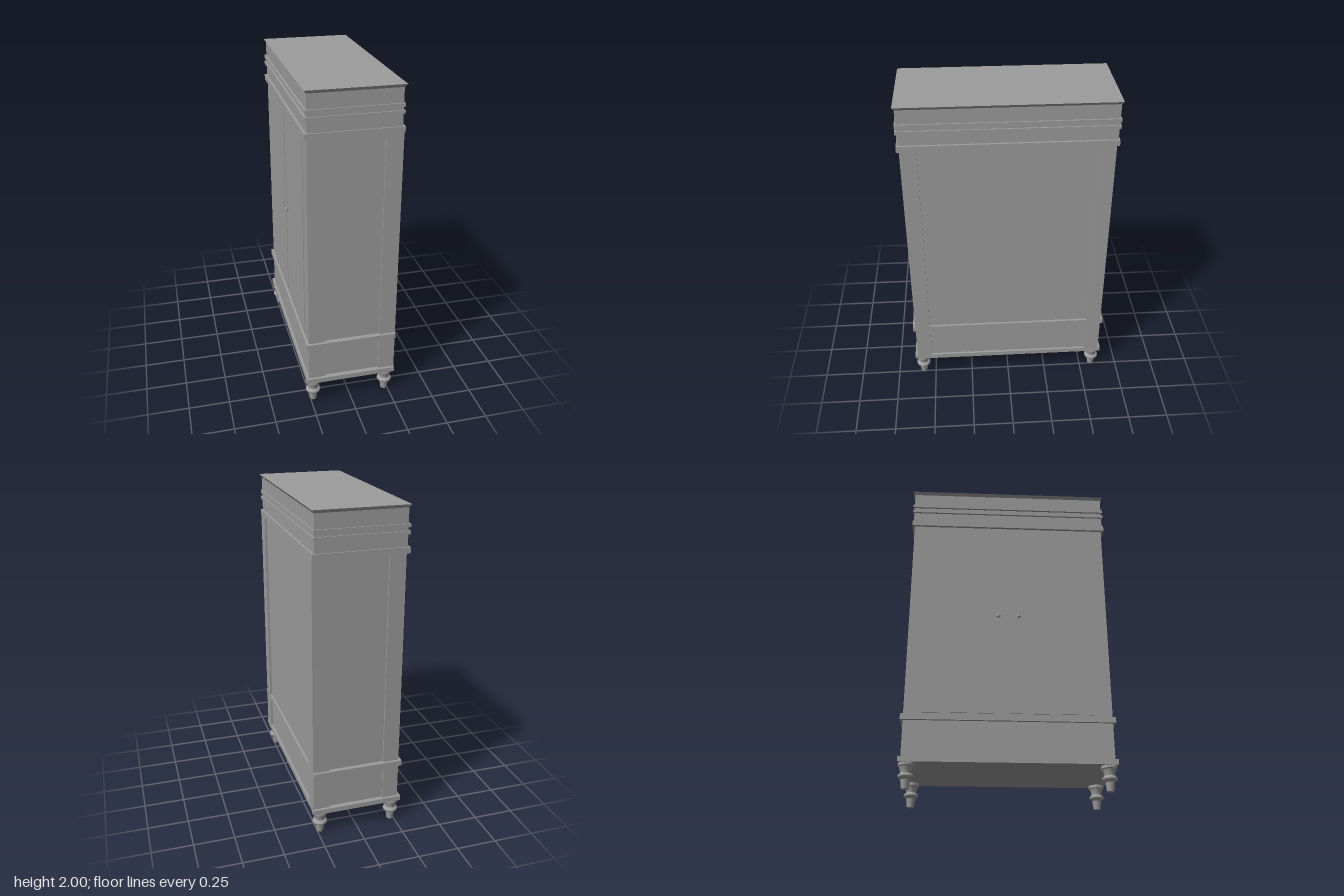
import * as THREE from 'three';

const material = new THREE.MeshStandardMaterial({ color: 0x9c9c9c });

export function createModel() {
  const wardrobe = new THREE.Group();
  wardrobe.name = 'wardrobe';

  const add = (name, geometry) => {
    const mesh = new THREE.Mesh(geometry, material);
    mesh.name = name;
    wardrobe.add(mesh);
    return mesh;
  };
  // Box given by its limits on each axis
  const box = (name, x0, x1, y0, y1, z0, z1) => {
    const mesh = add(name, new THREE.BoxGeometry(x1 - x0, y1 - y0, z1 - z0));
    mesh.position.set((x0 + x1) / 2, (y0 + y1) / 2, (z0 + z1) / 2);
    return mesh;
  };

  // Carcass: recessed side and back panels show between the corner posts
  box('carcass', -0.262, 0.266, 0.17, 1.75, -0.6, 0.6);
  for (const s of [-1, 1]) {
    const [a, b] = s > 0 ? [0.517, 0.613] : [-0.613, -0.517];
    box('doorSidePost', -0.262, -0.164, 0.177, 1.732, a, b);
    box('backPost', 0.18, 0.281, 0.177, 1.732, a, b);
  }

  // Projecting mouldings, flush with the back
  box('baseMoulding', -0.278, 0.281, 0.147, 0.178, -0.629, 0.629);
  box('waistMoulding', -0.278, 0.281, 0.397, 0.432, -0.629, 0.629);
  box('upperMoulding', -0.278, 0.281, 1.731, 1.767, -0.629, 0.629);

  // Frieze with two thin ribs
  box('frieze', -0.263, 0.268, 1.767, 1.986, -0.621, 0.621);
  for (const y of [1.836, 1.876]) {
    box('friezeRib', -0.275, 0.276, y, y + 0.02, -0.629, 0.629);
  }

  // Crown flaring out to the top
  const crown = box('crown', -0.276, 0.282, 1.982, 2, -0.632, 0.632);
  const p = crown.geometry.attributes.position;
  for (let i = 0; i < p.count; i++) {
    if (p.getY(i) < 0) {
      p.setX(i, p.getX(i) - Math.sign(p.getX(i)) * 0.013);
      p.setZ(i, p.getZ(i) - Math.sign(p.getZ(i)) * 0.01);
    }
  }
  crown.geometry.computeVertexNormals();

  // Pair of doors with turned knobs
  const knobProfile = [[0.005, 0], [0.005, 0.005], [0.011, 0.008], [0.013, 0.01], [0.011, 0.013], [0.006, 0.017], [0, 0.018]]
    .map(([r, y]) => new THREE.Vector2(r, y));
  for (const s of [-1, 1]) {
    const [a, b] = s > 0 ? [0.011, 0.508] : [-0.508, -0.011];
    box('door', -0.267, -0.255, 0.445, 1.72, a, b);
    const knob = add('doorKnob', new THREE.LatheGeometry(knobProfile, 20));
    knob.rotation.z = Math.PI / 2;
    knob.position.set(-0.267, 1.08, s * 0.064);
  }

  // Turned feet; repeated points keep the rings crisp
  const footProfile = [
    [0, 0], [0.021, 0], [0.021, 0], [0.028, 0.052], [0.028, 0.052], [0.036, 0.058],
    [0.044, 0.066], [0.046, 0.073], [0.042, 0.08], [0.031, 0.088], [0.031, 0.088],
    [0.033, 0.106], [0.041, 0.126], [0.041, 0.126], [0.047, 0.13], [0.047, 0.13],
    [0.047, 0.143], [0.047, 0.143], [0.043, 0.15],
  ].map(([r, y]) => new THREE.Vector2(r, y));
  for (const x of [-0.232, 0.232]) {
    for (const z of [-0.58, 0.58]) {
      add('foot', new THREE.LatheGeometry(footProfile, 28)).position.set(x, 0, z);
    }
  }

  return wardrobe;
}
